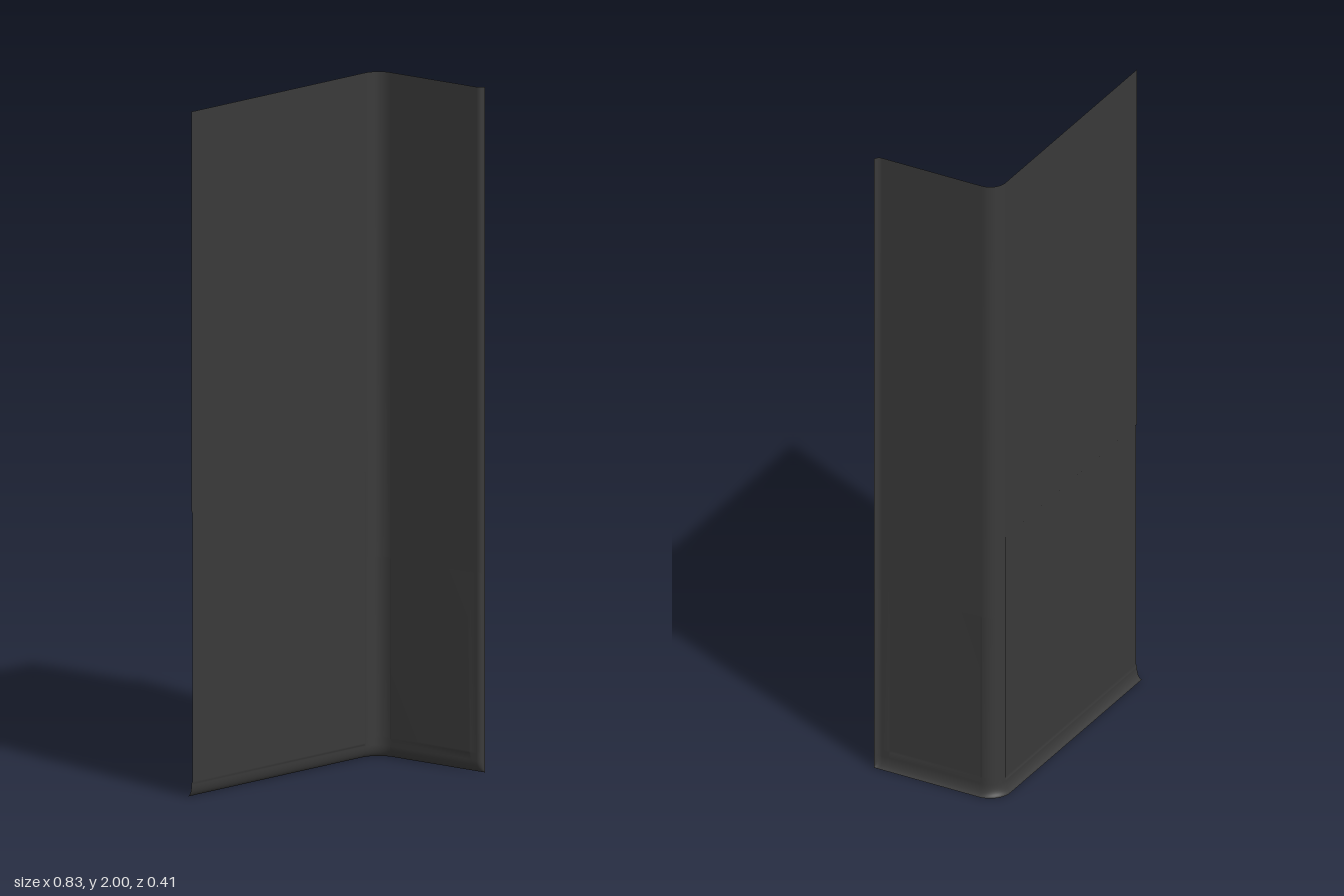
import * as THREE from 'three';

const HEIGHT = 2, LIP = 0.016, BASE = 0.035;
const BACK = -0.19, SIDE = 0.395, BEND = 0.05, FRONT = 0.189, END = -0.415;
const DENT = 0.003, EDGE = 0.006;

const material = new THREE.MeshStandardMaterial({ color: 0x3a3a3a, side: THREE.DoubleSide });

// Vertical profile of the sheet: rows of height and outward flare at the foot
function rows(dentBottom, dentTop) {
  const list = [];
  for (let i = 8; i >= 0; i--) {
    const a = (i / 8) * Math.PI / 2;
    list.push({ y: BASE * (1 - Math.sin(a)), flare: LIP * (1 - Math.cos(a)), dent: 0 });
  }
  list.push({ y: dentBottom - EDGE, flare: 0, dent: 0 }, { y: dentBottom, flare: 0, dent: DENT },
    { y: dentTop, flare: 0, dent: DENT }, { y: dentTop + EDGE, flare: 0, dent: 0 },
    { y: HEIGHT, flare: 0, dent: 0 });
  return list;
}

// Sweep the vertical profile along plan columns {x, z, nx, nz, dent}
function sheet(name, columns, profile) {
  const positions = [], index = [], n = profile.length;
  for (const c of columns) {
    for (const r of profile) {
      const out = r.flare - r.dent * (c.dent || 0);
      positions.push(c.x + c.nx * out, r.y, c.z + c.nz * out);
    }
  }
  for (let i = 0; i < columns.length - 1; i++) {
    for (let j = 0; j < n - 1; j++) {
      const a = i * n + j, b = a + n;
      index.push(a, a + 1, b, b, a + 1, b + 1);
    }
  }
  const geometry = new THREE.BufferGeometry();
  geometry.setAttribute('position', new THREE.Float32BufferAttribute(positions, 3));
  geometry.setIndex(index);
  geometry.computeVertexNormals();
  const mesh = new THREE.Mesh(geometry, material);
  mesh.name = name;
  return mesh;
}

export function createModel() {
  const group = new THREE.Group();
  group.name = 'cornerPanel';
  const bendX = SIDE - BEND, bendZ = BACK + BEND;

  // Wide back panel, its lower part slightly recessed
  const back = [[END, 1], [bendX - EDGE, 1], [bendX, 0]]
    .map(([x, dent]) => ({ x, z: BACK, nx: 0, nz: -1, dent }));
  group.add(sheet('backPanel', back, rows(0.045, 0.83)));

  // Rounded corner
  const corner = [];
  for (let i = 0; i <= 12; i++) {
    const a = (i / 12) * Math.PI / 2, nx = Math.sin(a), nz = -Math.cos(a);
    corner.push({ x: bendX + BEND * nx, z: bendZ + BEND * nz, nx, nz });
  }
  group.add(sheet('roundedCorner', corner, rows(0.06, 0.58)));

  // Narrow side panel with a shallow recess
  const side = [[bendZ, 0], [bendZ + EDGE, 1], [0.16, 1], [0.16 + EDGE, 0], [FRONT, 0]]
    .map(([z, dent]) => ({ x: SIDE, z, nx: 1, nz: 0, dent }));
  group.add(sheet('sidePanel', side, rows(0.06, 0.58)));

  // Front edge rolled outward
  const lip = [];
  for (let i = 0; i <= 8; i++) {
    const a = (i / 8) * Math.PI / 2;
    lip.push({ x: SIDE + LIP * (1 - Math.cos(a)), z: FRONT + LIP * Math.sin(a), nx: Math.cos(a), nz: 0 });
  }
  group.add(sheet('frontLip', lip, rows(0.06, 0.58)));

  return group;
}
